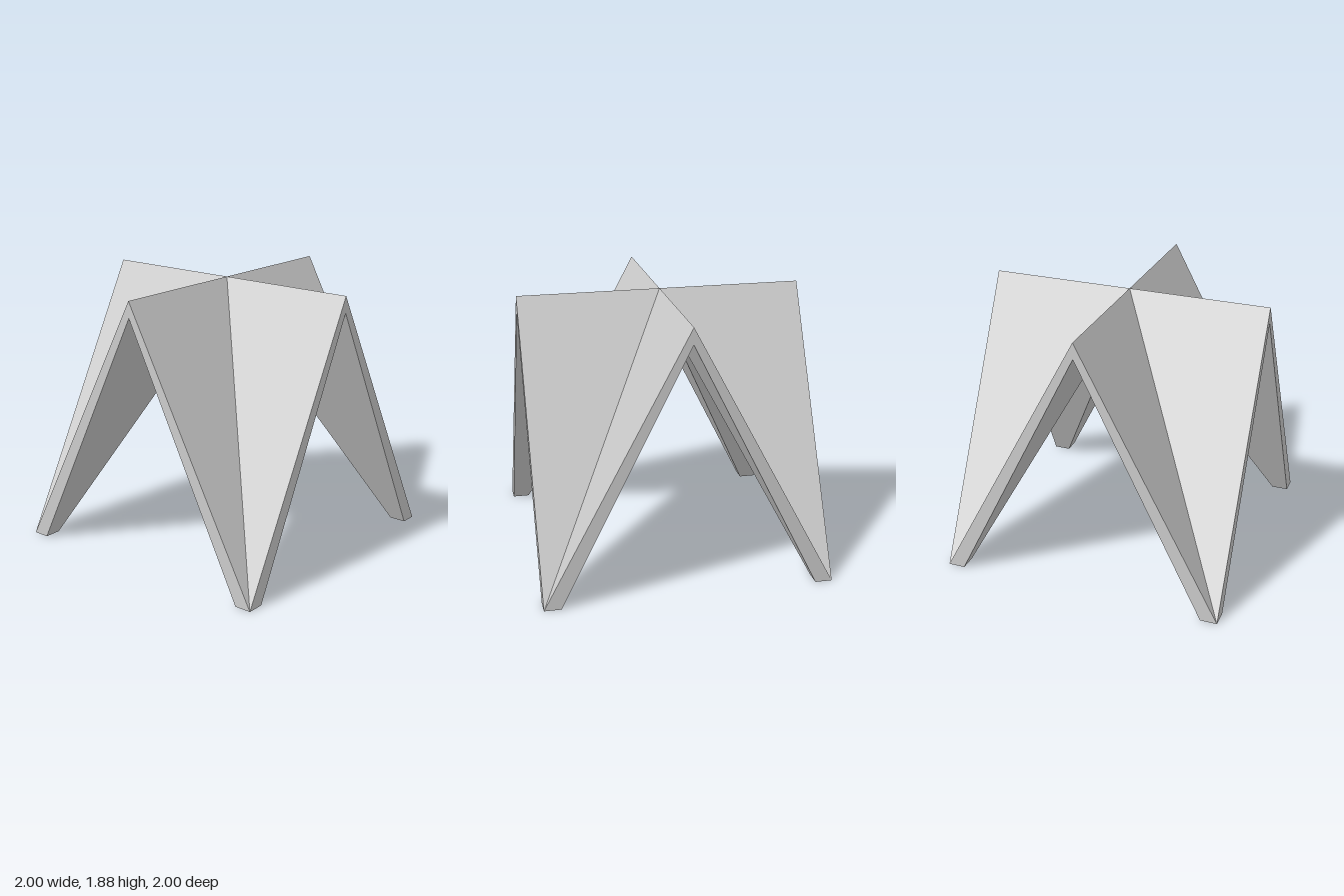
import * as THREE from 'three';

const H = 1.88;    // ridge height
const K = 1.765;   // underside of the ridges
const F = 0.882;   // inner edge of the feet

// Flat-shaded surface from convex polygons, corners counter-clockwise from outside
function facets(polygons) {
  const positions = [];
  for (const p of polygons) {
    for (let i = 1; i < p.length - 1; i++) positions.push(...p[0], ...p[i], ...p[i + 1]);
  }
  const geometry = new THREE.BufferGeometry();
  geometry.setAttribute('position', new THREE.Float32BufferAttribute(positions, 3));
  geometry.computeVertexNormals();
  return geometry;
}

export function createModel() {
  const group = new THREE.Group();
  group.name = 'crossGableCanopy';
  const material = new THREE.MeshStandardMaterial({ color: 0xcccccc, flatShading: true });

  // Corners of one quarter (x > 0, z > 0)
  const top = [0, H, 0], frontPeak = [0, H, 1], sidePeak = [1, H, 0];
  const underTop = [0, K, 0], underFront = [0, K, 1], underSide = [1, K, 0];
  const footOuter = [1, 0, 1], footFront = [F, 0, 1], footSide = [1, 0, F], footInner = [F, 0, F];

  const quarter = facets([
    // roof slopes meeting in a valley
    [top, frontPeak, footOuter],
    [top, footOuter, sidePeak],
    // gable edges
    [frontPeak, underFront, footFront, footOuter],
    [sidePeak, footOuter, footSide, underSide],
    // underside slopes
    [underTop, footInner, footFront, underFront],
    [underTop, underSide, footSide, footInner],
    // sole of the foot
    [footOuter, footFront, footInner, footSide],
  ]);

  // Four identical quarters around the centre
  ['frontLeft', 'backLeft', 'backRight', 'frontRight'].forEach((name, i) => {
    const mesh = new THREE.Mesh(quarter, material);
    mesh.name = name + 'RoofLeg';
    mesh.rotation.y = i * Math.PI / 2;
    group.add(mesh);
  });
  return group;
}
